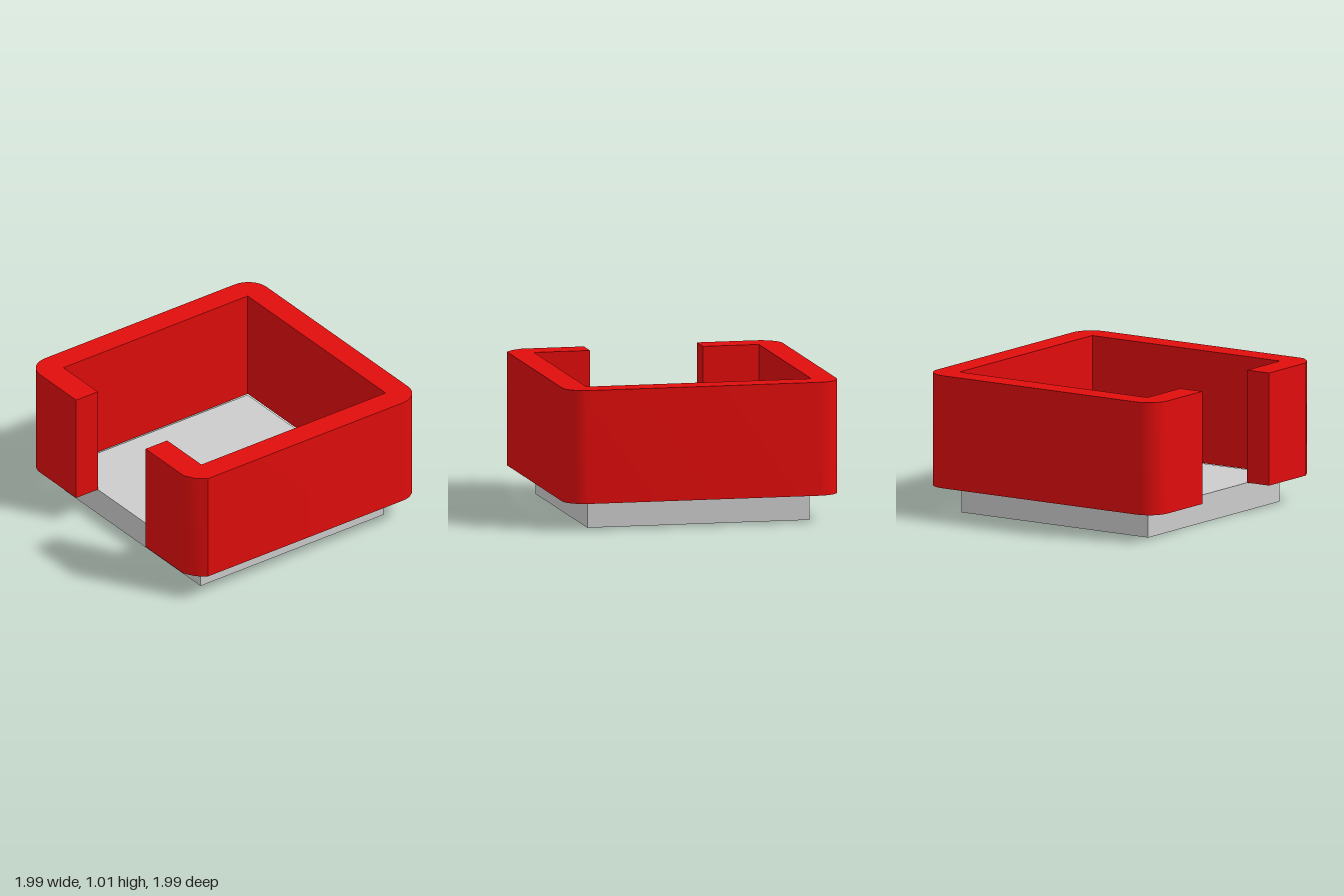
import * as THREE from 'three';
import { toCreasedNormals } from 'three/addons/utils/BufferGeometryUtils.js';

export function createModel() {
  const group = new THREE.Group();
  const grey = new THREE.MeshStandardMaterial({ color: 0xcccccc });
  const red = new THREE.MeshStandardMaterial({ color: 0xe00c0c });

  // Square base plate
  const base = new THREE.Mesh(new THREE.BoxGeometry(1.61, 0.2, 1.61), grey);
  base.name = 'base';
  base.position.y = 0.1;
  group.add(base);

  // Wall outline seen from above (shape y is -z), open at the front
  const out = 0.995, inn = 0.815, gap = 0.41, r = 0.16, c = out - r;
  const s = new THREE.Shape();
  s.moveTo(gap, -out);
  // front left corner is cut with two facets
  s.lineTo(0.86, -out);
  s.lineTo(0.94, -0.95);
  s.lineTo(out, -0.88);
  // rounded back corners and front right corner
  s.absarc(c, c, r, 0, Math.PI / 2, false);
  s.absarc(-c, c, r, Math.PI / 2, Math.PI, false);
  s.absarc(-c, -c, r, Math.PI, Math.PI * 1.5, false);
  s.lineTo(-gap, -out);
  // square inner side
  s.lineTo(-gap, -0.805);
  s.lineTo(-inn, -0.805);
  s.lineTo(-inn, inn);
  s.lineTo(inn, inn);
  s.lineTo(inn, -0.805);
  s.lineTo(gap, -0.805);
  s.closePath();

  const geo = new THREE.ExtrudeGeometry(s, { depth: 0.81, bevelEnabled: false, curveSegments: 4 });
  geo.rotateX(-Math.PI / 2);
  const wall = new THREE.Mesh(toCreasedNormals(geo, 0.45), red);
  wall.name = 'wall';
  wall.position.y = 0.2;
  group.add(wall);

  return group;
}
